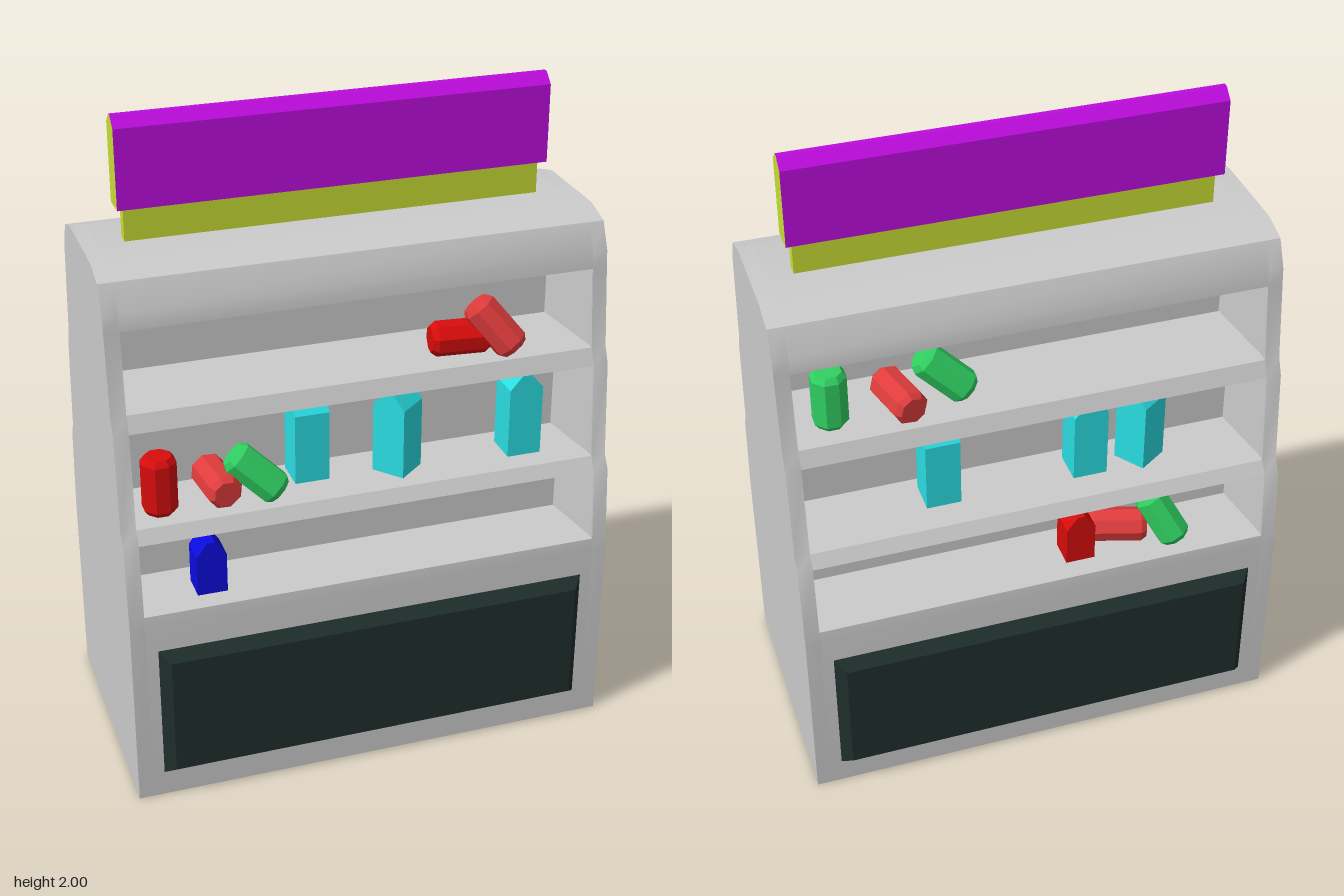
import * as THREE from 'three';
import { toCreasedNormals } from 'three/addons/utils/BufferGeometryUtils.js';

const mat = (color, flatShading = false) => new THREE.MeshStandardMaterial({ color, flatShading });
const grey = mat(0xcccccc), dark = mat(0x1f2e2b, true);
const red = mat(0xd80c0c, true), paleRed = mat(0xe03c3c, true), green = mat(0x30d062, true);
const cyan = mat(0x2adde2, true), blue = mat(0x0c0ce0, true);
const yellow = mat(0xc8de34), purple = mat(0xbe0ce0);

function add(parent, name, geometry, material) {
  const mesh = new THREE.Mesh(geometry, material);
  mesh.name = name;
  parent.add(mesh);
  return mesh;
}

// Half profile as [z, y] going up; mirrored in z and extruded along x
function symmetricExtrude(half, width) {
  const pts = [...half, ...half.slice().reverse().map(([z, y]) => [-z, y])];
  const shape = new THREE.Shape(pts.map(([z, y]) => new THREE.Vector2(z, y)));
  const geo = new THREE.ExtrudeGeometry(shape, { depth: width, bevelEnabled: false });
  return geo.translate(0, 0, -width / 2).rotateY(Math.PI / 2);
}

// Recesses: floor, ceiling at the back, and depth of the opening and back wall
const recesses = [
  { floor: 0.635, ceil: 0.86, top: 0.86, back: 0.165, front: 0.37 },
  { floor: 0.9, ceil: 1.19, top: 1.19, back: 0.11, front: 0.32 },
  { floor: 1.24, ceil: 1.41, top: 1.48, back: 0.02, front: 0.27 },
];
const lipZ = [0.391, 0.345, 0.298];

function cabinet(root) {
  const g = new THREE.Group();
  g.name = 'cabinet';
  root.add(g);
  const outer = [[0.395, 0], [0.395, 0.6]], notched = [[0.395, 0], [0.395, 0.6]];
  recesses.forEach((r, i) => {
    outer.push([lipZ[i], r.floor], [r.front, r.top]);
    notched.push([lipZ[i], r.floor], [r.back, r.floor], [r.back, r.ceil], [r.front, r.top]);
  });
  const crown = [[0.265, 1.53], [0.228, 1.61], [0.143, 1.635]];
  add(g, 'shelvedBody', toCreasedNormals(symmetricExtrude([...notched, ...crown], 1.4), 0.5), grey);
  const end = toCreasedNormals(symmetricExtrude([...outer, ...crown], 0.045), 0.5);
  for (const s of [-1, 1]) add(g, 'endPanel', end, grey).position.x = s * 0.7225;

  // Tapered side walls inside every recess
  for (const r of recesses) {
    const wedge = new THREE.Shape([
      new THREE.Vector2(0.7, -r.front), new THREE.Vector2(0.7, -r.back), new THREE.Vector2(0.67, -r.back),
    ]);
    const geo = new THREE.ExtrudeGeometry(wedge, { depth: r.top - r.floor, bevelEnabled: false });
    geo.rotateX(-Math.PI / 2).translate(0, r.floor, 0);
    const other = geo.clone().rotateY(Math.PI);
    for (const side of [0, Math.PI]) {
      // Rotating the wedge by a half turn gives the opposite corner; mirroring gives the rest
      add(g, 'recessWall', side ? other : geo, grey);
      const mirrored = add(g, 'recessWall', side ? other : geo, grey);
      mirrored.scale.x = -1;
    }
  }
}

// Lower panel with bevelled edges
function lowerPanel(parent) {
  const geo = new THREE.BoxGeometry(1.33, 0.435, 0.035);
  const p = geo.attributes.position;
  for (let i = 0; i < p.count; i++) {
    if (p.getZ(i) > 0) p.setXY(i, p.getX(i) - Math.sign(p.getX(i)) * 0.03, p.getY(i) - Math.sign(p.getY(i)) * 0.029);
  }
  add(parent, 'lowerPanel', geo, dark).position.set(0, 0.2975, 0.4125);
}

// Eight-sided can with chamfered ends, centred on its middle
const canGeo = new THREE.LatheGeometry(
  [[0, -0.09], [0.04, -0.09], [0.053, -0.073], [0.053, 0.073], [0.04, 0.09], [0, 0.09]]
    .map(([x, y]) => new THREE.Vector2(x, y)), 8).rotateY(Math.PI / 8);

function can(parent, material, pos, axis = [0, 1, 0]) {
  const m = add(parent, 'can', canGeo, material);
  m.position.set(...pos);
  m.quaternion.setFromUnitVectors(new THREE.Vector3(0, 1, 0), new THREE.Vector3(...axis).normalize());
}

// Gable-topped carton standing on its base, ridge along its own z
function carton(parent, material, pos, turn = 0, w = 0.105, h = 0.265) {
  const a = w / 2, e = h - 0.045, t = w * 0.13;
  const shape = new THREE.Shape([[-a, 0], [a, 0], [a, e], [t, h], [-t, h], [-a, e]].map(([x, y]) => new THREE.Vector2(x, y)));
  const geo = new THREE.ExtrudeGeometry(shape, { depth: w, bevelEnabled: false }).translate(0, 0, -a);
  const m = add(parent, 'carton', geo, material);
  m.position.set(...pos);
  m.rotation.y = turn;
}

export function createModel() {
  const root = new THREE.Group();
  root.name = 'doubleSidedShelf';
  cabinet(root);

  // Sign and its foot
  add(root, 'signFoot', new THREE.BoxGeometry(1.245, 0.12, 0.038), yellow).position.set(0, 1.68, -0.003);
  const sign = symmetricExtrude([[0.04, 1.735], [0.04, 1.97], [0.008, 2]], 1.285);
  add(root, 'signBoard', sign, [yellow, purple]).position.z = -0.003;

  const front = new THREE.Group(), back = new THREE.Group();
  front.name = 'frontGoods';
  back.name = 'backGoods';
  back.rotation.y = Math.PI;
  root.add(front, back);
  lowerPanel(front);
  lowerPanel(back);

  // Front goods
  can(front, red, [0.315, 1.293, 0.21], [1, 0, 0.1]);
  can(front, paleRed, [0.41, 1.33, 0.245], [-0.52, 0.66, -0.3]);
  can(front, red, [-0.61, 0.99, 0.26]);
  can(front, paleRed, [-0.435, 0.952, 0.23], [0.1, 0, 1]);
  can(front, green, [-0.33, 0.988, 0.28], [-0.7, 0.65, -0.25]);
  carton(front, cyan, [-0.145, 0.9, 0.18], Math.PI / 2);
  carton(front, cyan, [0.12, 0.9, 0.225], Math.PI / 2 + 0.7);
  carton(front, cyan, [0.51, 0.9, 0.22]);
  carton(front, blue, [-0.48, 0.635, 0.28], 0, 0.09, 0.17);

  // Back goods, placed as seen from behind
  can(back, green, [-0.584, 1.33, 0.2]);
  can(back, paleRed, [-0.386, 1.293, 0.2], [0.25, 0, 1]);
  can(back, green, [-0.25, 1.34, 0.2], [-0.7, 0.65, -0.2]);
  carton(back, cyan, [-0.275, 0.9, 0.2], Math.PI / 2);
  carton(back, cyan, [0.18, 0.9, 0.2]);
  carton(back, cyan, [0.355, 0.9, 0.2], Math.PI / 2 + 0.6);
  carton(back, red, [0.13, 0.635, 0.28], 0, 0.09, 0.17);
  can(back, paleRed, [0.27, 0.69, 0.26], [1, 0, 0.3]);
  can(back, green, [0.395, 0.735, 0.31], [-0.4, 0.75, -0.3]);
  return root;
}
